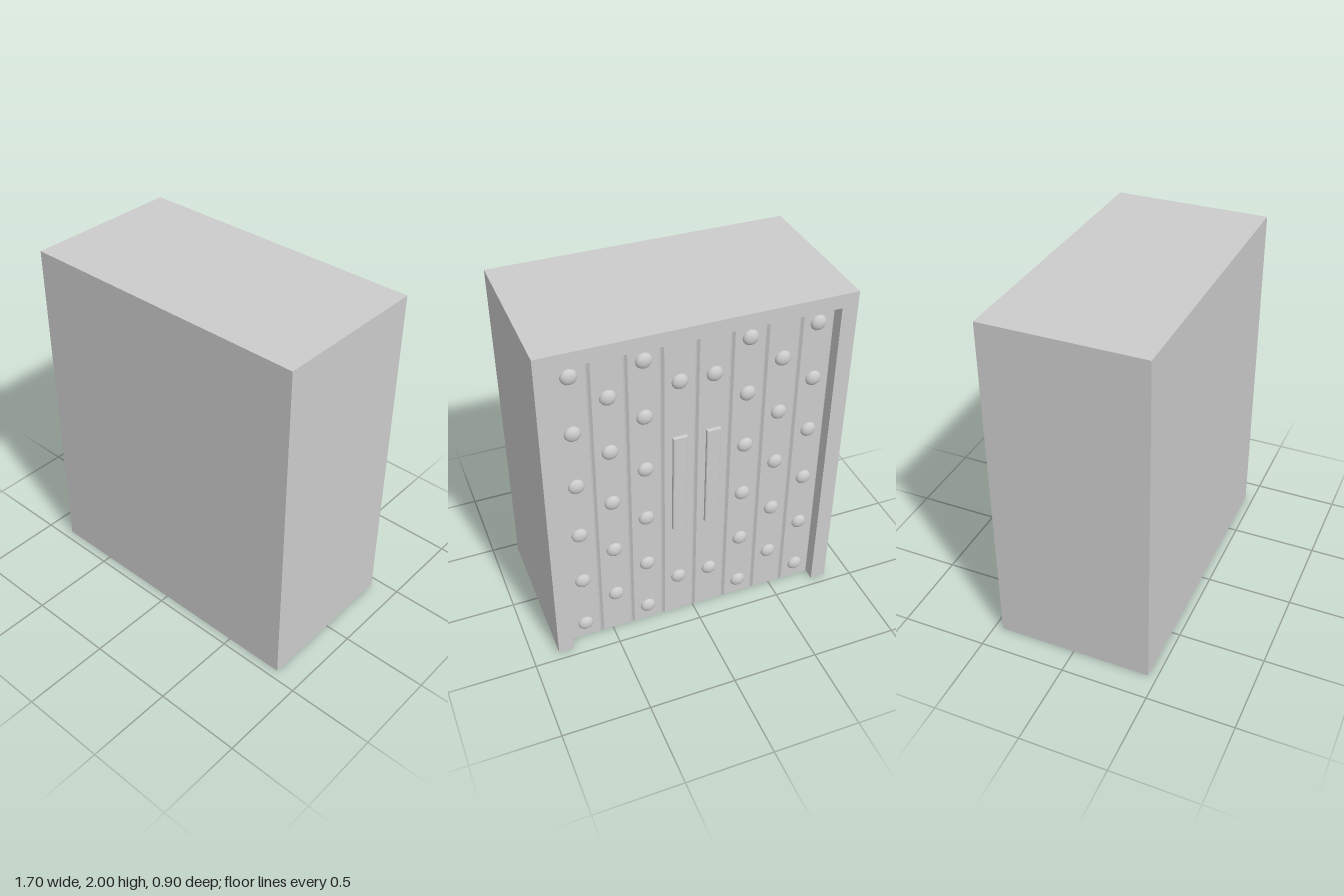
import * as THREE from 'three';

const W = 1.7, H = 2, D = 0.9;          // overall size
const POST = 0.09, LINTEL = 0.08;       // frame around the door
const BACK = -D / 2;
const RECESS = BACK + 0.08;             // floor of the door recess
const FACE = BACK + 0.06;               // outer face of the planks
const COLS = 8;
const PITCH = (W - 2 * POST) / COLS;

const grey = new THREE.MeshStandardMaterial({ color: 0xcccccc });

function add(parent, name, geometry, x = 0, y = 0, z = 0) {
  const mesh = new THREE.Mesh(geometry, grey);
  mesh.name = name;
  mesh.position.set(x, y, z);
  parent.add(mesh);
  return mesh;
}

// Board with chamfered edges, centred in x and y, running from z = 0 to z = 2 * bevel + depth
function board(w, h, depth, bevel) {
  const x = w / 2 - bevel, y = h / 2 - bevel;
  const shape = new THREE.Shape([
    new THREE.Vector2(-x, -y), new THREE.Vector2(x, -y),
    new THREE.Vector2(x, y), new THREE.Vector2(-x, y),
  ]);
  const g = new THREE.ExtrudeGeometry(shape, {
    depth, bevelEnabled: true, bevelSize: bevel, bevelThickness: bevel, bevelSegments: 1,
  });
  return g.translate(0, 0, bevel);
}

export function createModel() {
  const model = new THREE.Group();
  model.name = 'cabinet';

  // Solid body in front of the recess
  const depth = D / 2 - RECESS;
  add(model, 'body', new THREE.BoxGeometry(W, H, depth), 0, H / 2, RECESS + depth / 2);

  // Frame of two posts and a lintel, open at the bottom
  const a = W / 2, b = a - POST, t = H - LINTEL;
  const outline = [[-a, 0], [-b, 0], [-b, t], [b, t], [b, 0], [a, 0], [a, H], [-a, H]];
  const frame = new THREE.Shape(outline.map(([x, y]) => new THREE.Vector2(x, y)));
  add(model, 'doorFrame',
    new THREE.ExtrudeGeometry(frame, { depth: RECESS - BACK, bevelEnabled: false }), 0, 0, BACK);

  const door = new THREE.Group();
  door.name = 'door';
  model.add(door);

  const plank = board(PITCH, t, 0.005, 0.012);
  const handle = board(0.08, 0.64, 0.015, 0.004);
  // Shallow dome pointing to the back
  const rivet = new THREE.SphereGeometry(0.045, 16, 6, 0, Math.PI * 2, 0, Math.PI / 2);
  rivet.rotateX(-Math.PI / 2).scale(1, 1, 0.6);

  const TOP = 1.825, STEP = 0.342;      // rivet rows
  for (let i = 0; i < COLS; i++) {
    const x = (i - (COLS - 1) / 2) * PITCH;
    const fromEdge = Math.min(i, COLS - 1 - i);
    add(door, 'plank', plank, x, t / 2, FACE);

    // Rivets alternate between six rows and five staggered rows
    const staggered = fromEdge % 2 === 1;
    const middle = fromEdge === 3;
    const count = staggered ? 5 : 6;
    for (let r = 0; r < count; r++) {
      if (middle && r > 0 && r < count - 1) continue;
      add(door, 'rivet', rivet, x, TOP - (r + (staggered ? 0.5 : 0)) * STEP, FACE);
    }
    // The two middle planks carry the handles
    if (middle) add(door, 'handle', handle, x, 0.99, FACE - 0.02);
  }
  return model;
}
